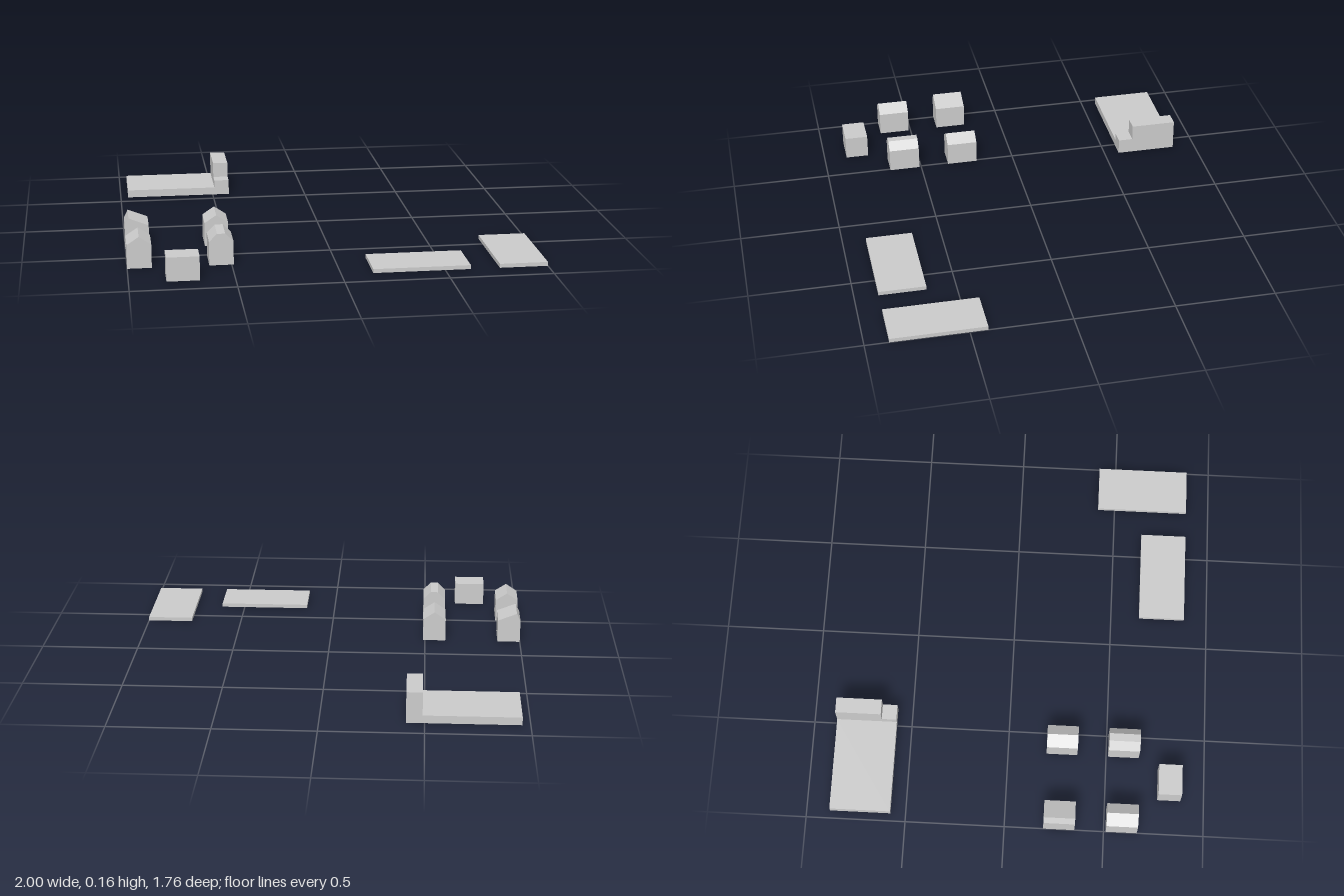
import * as THREE from 'three';

// One grid cell; the layout covers 51 x 45 cells
const U = 2 / 51;
const material = new THREE.MeshStandardMaterial({ color: 0xcccccc, flatShading: true });

// Extrudes a front outline (in cells) back to front, placed at cell (x, z) from the centre
function prism(name, outline, depth, x, z) {
  const shape = new THREE.Shape(outline.map(([px, py]) => new THREE.Vector2(px * U, py * U)));
  const geometry = new THREE.ExtrudeGeometry(shape, { depth: depth * U, bevelEnabled: false });
  const mesh = new THREE.Mesh(geometry, material);
  mesh.name = name;
  mesh.position.set(x * U, 0, z * U);
  return mesh;
}

// Box standing on the ground, given by its cell ranges
function block(name, x0, x1, z0, z1, height) {
  const geometry = new THREE.BoxGeometry((x1 - x0) * U, height * U, (z1 - z0) * U);
  const mesh = new THREE.Mesh(geometry, material);
  mesh.name = name;
  mesh.position.set((x0 + x1) / 2 * U, height / 2 * U, (z0 + z1) / 2 * U);
  return mesh;
}

// House with a roof whose top lies at the given cells across its width
function house(name, roofTop, x, z) {
  const roof = roofTop.map((px) => [px, 4]).reverse();
  return prism(name, [[0, 0], [3, 0], [3, 3], ...roof, [0, 3]], 4, x, z);
}

export function createModel() {
  const model = new THREE.Group();
  model.name = 'buildingLayout';

  // Four houses with different roofs and one flat-roofed block
  model.add(
    house('steepRoofHouse', [0.5], -25.5, 5),
    house('gableHouseRight', [1.5], -25.5, 13),
    house('gableHouseLeft', [1.5], -15.5, 5),
    house('flatRidgeHouse', [1, 2], -15.5, 13),
    block('flatRoofHouse', -21, -17, 19.5, 22.5, 3)
  );

  // Low platform with an end wall and a step in front of it
  const platform = new THREE.Group();
  platform.name = 'platform';
  platform.add(
    block('platformDeck', -24.5, -12.5, -22.5, -14.7, 1),
    block('platformWall', -12.5, -10.5, -22.5, -16.6, 4),
    block('platformStep', -12.5, -10.5, -16.6, -14.7, 2)
  );
  model.add(platform);

  // Two thin ground slabs
  model.add(
    block('wideSlab', 3.9, 15.9, 16.5, 22.5, 0.5),
    block('longSlab', 19.5, 25.5, 10.5, 22.5, 0.5)
  );
  return model;
}
